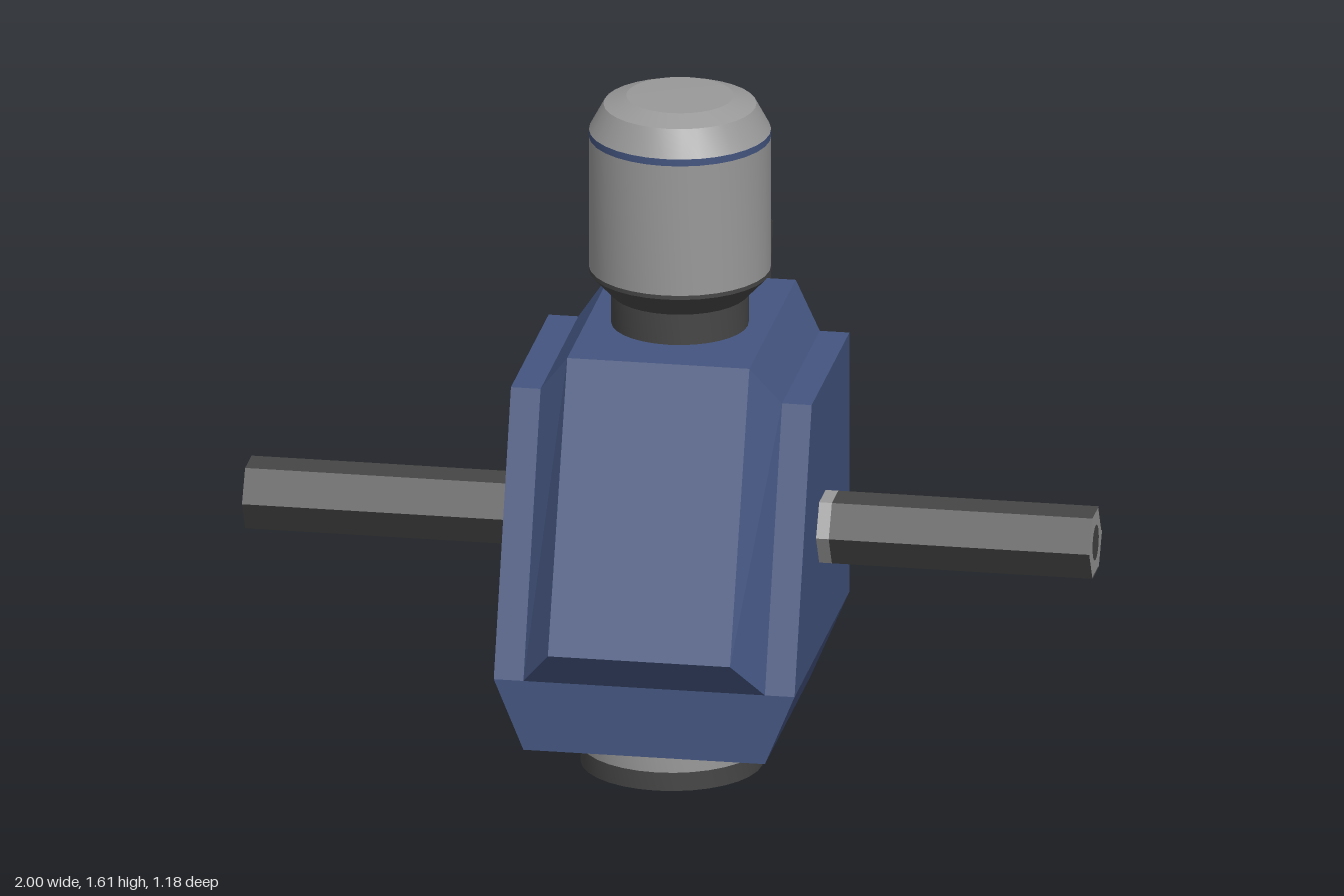
import * as THREE from 'three';
import { toCreasedNormals } from 'three/addons/utils/BufferGeometryUtils.js';

export function createModel() {
  const root = new THREE.Group();
  const mat = (name, color, extra = {}) => {
    const m = new THREE.MeshStandardMaterial({ color, ...extra });
    m.name = name;
    return m;
  };
  const blue = mat('blue paint', 0x445580, { side: THREE.DoubleSide });
  const dark = mat('dark metal', 0x464646, { side: THREE.DoubleSide });
  const grey = mat('light metal', 0x999999, { side: THREE.DoubleSide });

  const add = (name, geometry, material, parent = root) => {
    const mesh = new THREE.Mesh(geometry, material);
    mesh.name = name;
    parent.add(mesh);
    return mesh;
  };

  // Body shell: side profiles [z, y] lofted across x, open underneath
  const centre = [[0.52, 0.14], [0.52, 0.31], [0.59, 0.4], [0.33, 1.045], [-0.29, 1.045], [-0.29, 0.31], [-0.08, 0.14]];
  const shoulder = [[0.52, 0.14], [0.52, 0.31], [0.52, 0.31], [0.29, 0.95], [-0.215, 0.95], [-0.215, 0.31], [-0.08, 0.14]];
  const section = (profile, x, sign, bottomX = x) =>
    profile.map(([z, y]) => [sign * (y < 0.2 ? bottomX : x), y, z]);
  const sections = [
    section(shoulder, 0.355, -1, 0.285), section(shoulder, 0.285, -1), section(centre, 0.215, -1),
    section(centre, 0.215, 1), section(shoulder, 0.285, 1), section(shoulder, 0.355, 1, 0.285),
  ];
  const pos = [];
  const same = (p, q) => p.every((v, i) => v === q[i]);
  const tri = (a, b, c) => {
    if (!same(a, b) && !same(b, c) && !same(a, c)) pos.push(...a, ...b, ...c);
  };
  const quad = (a, b, c, d) => { tri(a, b, c); tri(a, c, d); };
  for (let i = 0; i < sections.length - 1; i++) {
    const s = sections[i], t = sections[i + 1];
    for (let j = 0; j < s.length - 1; j++) quad(s[j], t[j], t[j + 1], s[j + 1]);
  }
  // Flat sides and the tapered strips below them
  const [l, r] = [sections[5], sections[0]];
  quad(l[5], l[4], l[3], l[1]);
  quad(l[6], l[5], l[1], l[0]);
  quad(r[1], r[3], r[4], r[5]);
  quad(r[0], r[1], r[5], r[6]);
  const shell = new THREE.BufferGeometry();
  shell.setAttribute('position', new THREE.Float32BufferAttribute(pos, 3));
  shell.computeVertexNormals();
  add('body', shell, blue);

  // Turned parts: [radius, y] profiles
  const turned = (name, points, material, z) => {
    const g = new THREE.LatheGeometry(points.map(([a, b]) => new THREE.Vector2(a, b)), 32);
    add(name, toCreasedNormals(g, 0.3), material).position.z = z;
  };
  turned('neck', [[0.16, 1.03], [0.16, 1.12], [0.212, 1.175], [0.212, 1.185]], dark, 0.04);
  turned('head', [[0.212, 1.185], [0.212, 1.505]], grey, 0.04);
  turned('headBand', [[0.212, 1.505], [0.212, 1.522]], blue, 0.04);
  turned('headCap', [[0.212, 1.522], [0.178, 1.585], [0.125, 1.605], [0, 1.607]], grey, 0.04);

  // Open banded collar under the body
  const bands = [0, 0.045, 0.095, 0.14];
  for (let i = 0; i < 3; i++) {
    turned('collarBand', [[0.213, bands[i]], [0.213, bands[i + 1]]], i === 1 ? grey : dark, 0.147);
  }

  // Hexagonal arms with light end faces and a dark bore
  const hex = (length) => new THREE.CylinderGeometry(0.086, 0.086, length, 6, 1, true).toNonIndexed();
  const alongX = (g, x, sign) => {
    g.rotateZ(-sign * Math.PI / 2);
    g.translate(sign * x, 0.6, 0.147);
    g.deleteAttribute('normal');
    g.computeVertexNormals();
    return g;
  };
  const endDisc = (radius, sides) => {
    const g = new THREE.CircleGeometry(radius, sides, Math.PI / 2);
    return g.rotateX(-Math.PI / 2);
  };
  for (const sign of [1, -1]) {
    const arm = new THREE.Group();
    arm.name = sign > 0 ? 'leftArm' : 'rightArm';
    root.add(arm);
    const start = sign > 0 ? 0.385 : 0.35;
    add('armRod', alongX(hex(1 - start), (1 + start) / 2, sign), dark, arm);
    if (sign > 0) add('armRootRing', alongX(hex(0.035), 0.3675, sign), grey, arm);
    add('armEnd', alongX(endDisc(0.086, 6), 0.998, sign), grey, arm);
    add('armBore', alongX(endDisc(0.042, 20), 1, sign), dark, arm);
  }

  // Back fin
  const fin = new THREE.Shape([[-0.28, 0.31], [-0.45, 0.31], [-0.59, 1.08], [-0.37, 1.15], [-0.28, 1.035]]
    .map(([z, y]) => new THREE.Vector2(-z, y)));
  const finGeometry = new THREE.ExtrudeGeometry(fin, { depth: 0.216, bevelEnabled: false });
  finGeometry.translate(0, 0, -0.108);
  finGeometry.rotateY(Math.PI / 2);
  add('backFin', finGeometry, dark);

  return root;
}
